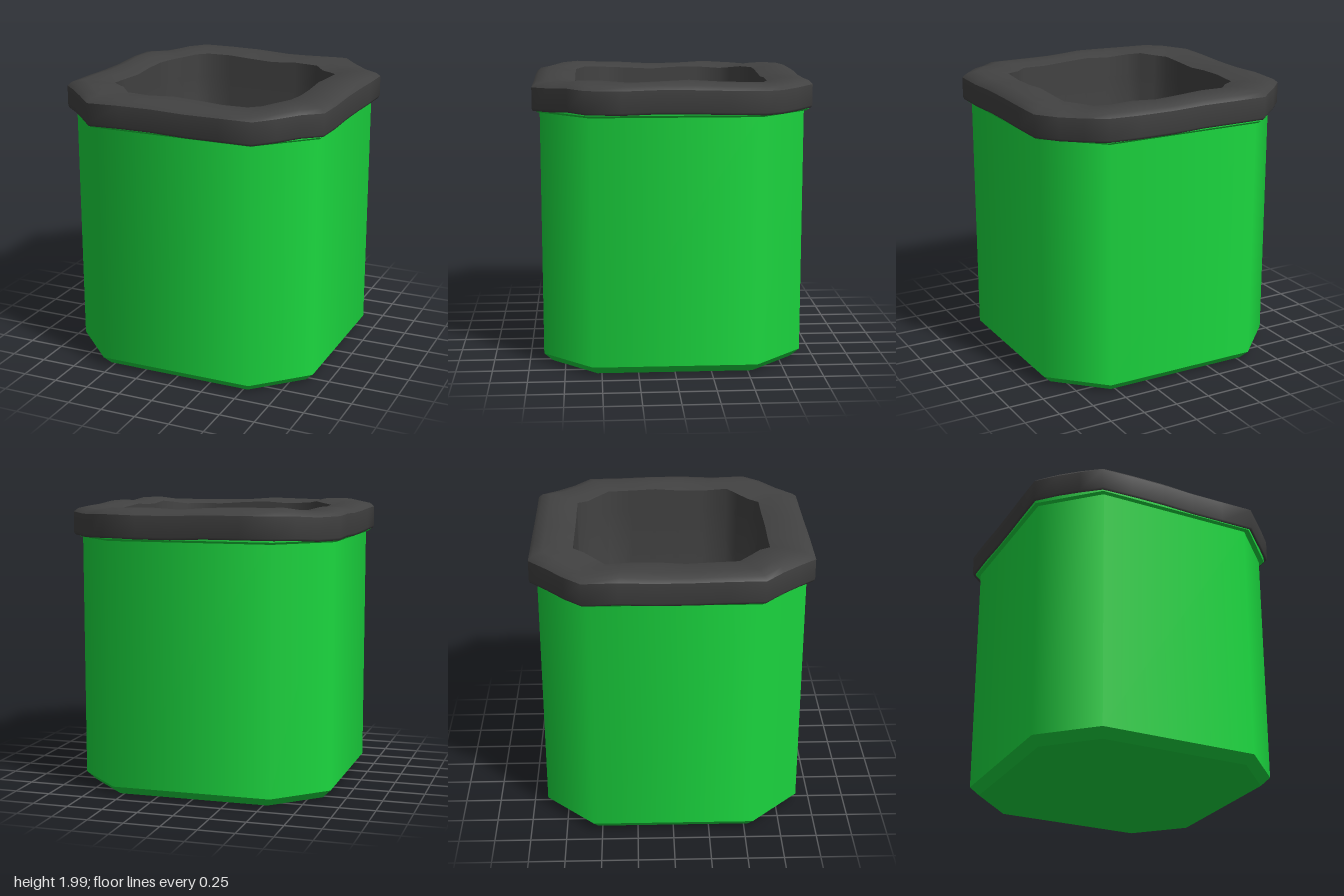
import * as THREE from 'three';

const green = new THREE.MeshStandardMaterial({ color: 0x1bd83f });
green.name = 'green plastic';
const charcoal = new THREE.MeshStandardMaterial({ color: 0x424242 });
charcoal.name = 'charcoal liner';

// Square outline with cut corners; r = half width, c = where the cut starts
function outline(r, c, sideSteps, cornerSteps) {
  const corners = [[-c, r], [c, r], [r, c], [r, -c], [c, -r], [-c, -r], [-r, -c], [-r, c]];
  const points = [];
  corners.forEach(([x, z], i) => {
    const [nx, nz] = corners[(i + 1) % 8];
    const steps = i % 2 ? cornerSteps : sideSteps;
    for (let k = 0; k < steps; k++) {
      const t = k / steps;
      points.push([x + (nx - x) * t, z + (nz - z) * t]);
    }
  });
  return points;
}

// Lofts rings of [r, c, y, waviness] into one skin; each quad weighs equally in the smooth normals
function loft(name, material, rings, sideSteps = 1, cornerSteps = 1) {
  const vertices = [], index = [];
  const n = 4 * (sideSteps + cornerSteps);
  rings.forEach(([r, c, y, wave = 0]) => {
    outline(r, c, sideSteps, cornerSteps).forEach(([x, z], i) => {
      const a = (i / n) * Math.PI * 2;
      const ripple = 0.45 * Math.sin(3 * a + 0.6 + 2 * r) + 0.3 * Math.sin(7 * a + 2 + 3 * r)
        + 0.25 * Math.sin(11 * a + 5 * r);
      vertices.push(new THREE.Vector3(x, y + wave * ripple, z));
    });
  });
  const normals = vertices.map(() => new THREE.Vector3());
  for (let j = 0; j < rings.length - 1; j++) {
    for (let i = 0; i < n; i++) {
      const p = j * n + i, q = j * n + (i + 1) % n;
      index.push(p, q, q + n, p, q + n, p + n);
      const d1 = vertices[q + n].clone().sub(vertices[p]);
      const d2 = vertices[p + n].clone().sub(vertices[q]);
      const face = d1.cross(d2).normalize();
      [p, q, p + n, q + n].forEach((v) => normals[v].add(face));
    }
  }
  normals.forEach((v) => v.normalize());
  const flat = (list) => new THREE.Float32BufferAttribute(list.flatMap((v) => v.toArray()), 3);
  const geometry = new THREE.BufferGeometry();
  geometry.setAttribute('position', flat(vertices));
  geometry.setAttribute('normal', flat(normals));
  geometry.setIndex(index);
  const mesh = new THREE.Mesh(geometry, material);
  mesh.name = name;
  return mesh;
}

export function createModel() {
  const group = new THREE.Group();
  group.name = 'linedBin';

  // Green bin: separate skins keep the edges between them sharp
  group.add(
    loft('binBase', green, [[0, 0, 0], [0.84, 0.53, 0]]),
    loft('baseBevel', green, [[0.84, 0.53, 0], [0.9, 0.56, 0.06]]),
    loft('binWall', green, [[0.9, 0.56, 0.06], [0.9, 0.56, 1.775]]),
    loft('collarUnderside', green, [[0.9, 0.56, 1.775], [0.915, 0.57, 1.76]]),
    loft('collarBevel', green, [[0.915, 0.57, 1.76], [0.932, 0.58, 1.775]]),
    loft('collarWall', green, [[0.932, 0.58, 1.775], [0.932, 0.58, 1.88]]),
  );

  // Wrinkled liner: skirt folded over the rim, rolled top, and bag hanging inside
  const skirtTop = [0.952, 0.595, 1.938, 0.013];
  const mouth = [0.66, 0.44, 1.955, 0.022];
  group.add(
    loft('linerSkirt', charcoal, [
      [0.934, 0.585, 1.79, 0.014],
      [0.945, 0.59, 1.779, 0.014],
      [0.952, 0.595, 1.795, 0.012],
      skirtTop,
    ], 5, 3),
    loft('linerTop', charcoal, [
      skirtTop,
      [0.925, 0.58, 1.963, 0.018],
      [0.86, 0.55, 1.978, 0.024],
      [0.75, 0.49, 1.976, 0.024],
      mouth,
    ], 5, 3),
    loft('linerBag', charcoal, [
      mouth,
      [0.66, 0.44, 1.8],
      [0.66, 0.44, 0.3],
      [0.57, 0.38, 0.1],
      [0.35, 0.23, 0.07],
      [0, 0, 0.07],
    ], 5, 3),
  );

  return group;
}
